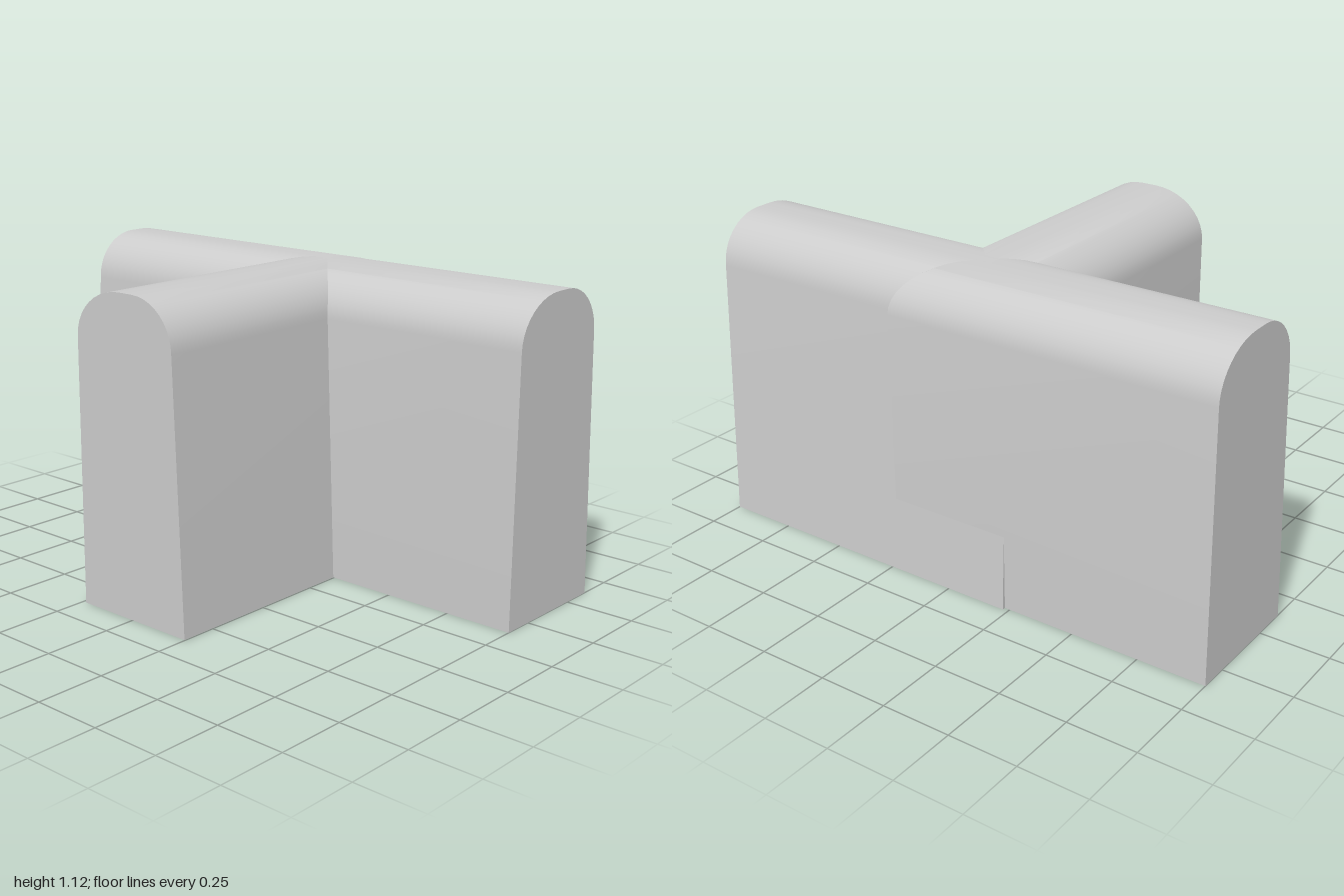
import * as THREE from 'three';
import { toCreasedNormals } from 'three/addons/utils/BufferGeometryUtils.js';

const ARCH_ROWS = 10;   // rows in the rounded top
const SPRING = 0.95;    // height where the arch begins
const RISE = 0.17;      // height of the arch
const FLAT = 0.03;      // half width of the flat crown

// One arched wing running along +z: straight wall on -x, leaning wall on +x.
// Its inner end is rounded like the arch so it mitres with the neighbouring wings.
function wingGeometry() {
  const geo = new THREE.BoxGeometry(1, 1, 1, 1, ARCH_ROWS + 1, 1);
  const p = geo.attributes.position;
  for (let i = 0; i < p.count; i++) {
    const row = Math.round((p.getY(i) + 0.5) * (ARCH_ROWS + 1));
    const a = Math.max(0, row - 1) / ARCH_ROWS * Math.PI / 2;
    const y = row === 0 ? 0 : SPRING + RISE * Math.sin(a);
    const left = FLAT + 0.205 * Math.cos(a);
    const right = row === 0 ? 0.247 : FLAT + 0.175 * Math.cos(a);
    const inner = FLAT + 0.2 * Math.cos(a);
    p.setXYZ(i, p.getX(i) < 0 ? -left : right, y, p.getZ(i) < 0 ? -inner : 1);
  }
  return toCreasedNormals(geo, 0.6);
}

export function createModel() {
  const group = new THREE.Group();
  group.name = 'archedJunction';
  const material = new THREE.MeshStandardMaterial({ color: 0xcccccc });
  const geo = wingGeometry();

  // Three wings meeting in a T
  const wings = [['frontWing', 0], ['backWing', Math.PI], ['sideWing', -Math.PI / 2]];
  for (const [name, turn] of wings) {
    const wing = new THREE.Mesh(geo, material);
    wing.name = name;
    wing.rotation.y = turn;
    wing.position.x = 0.37;
    group.add(wing);
  }
  return group;
}
